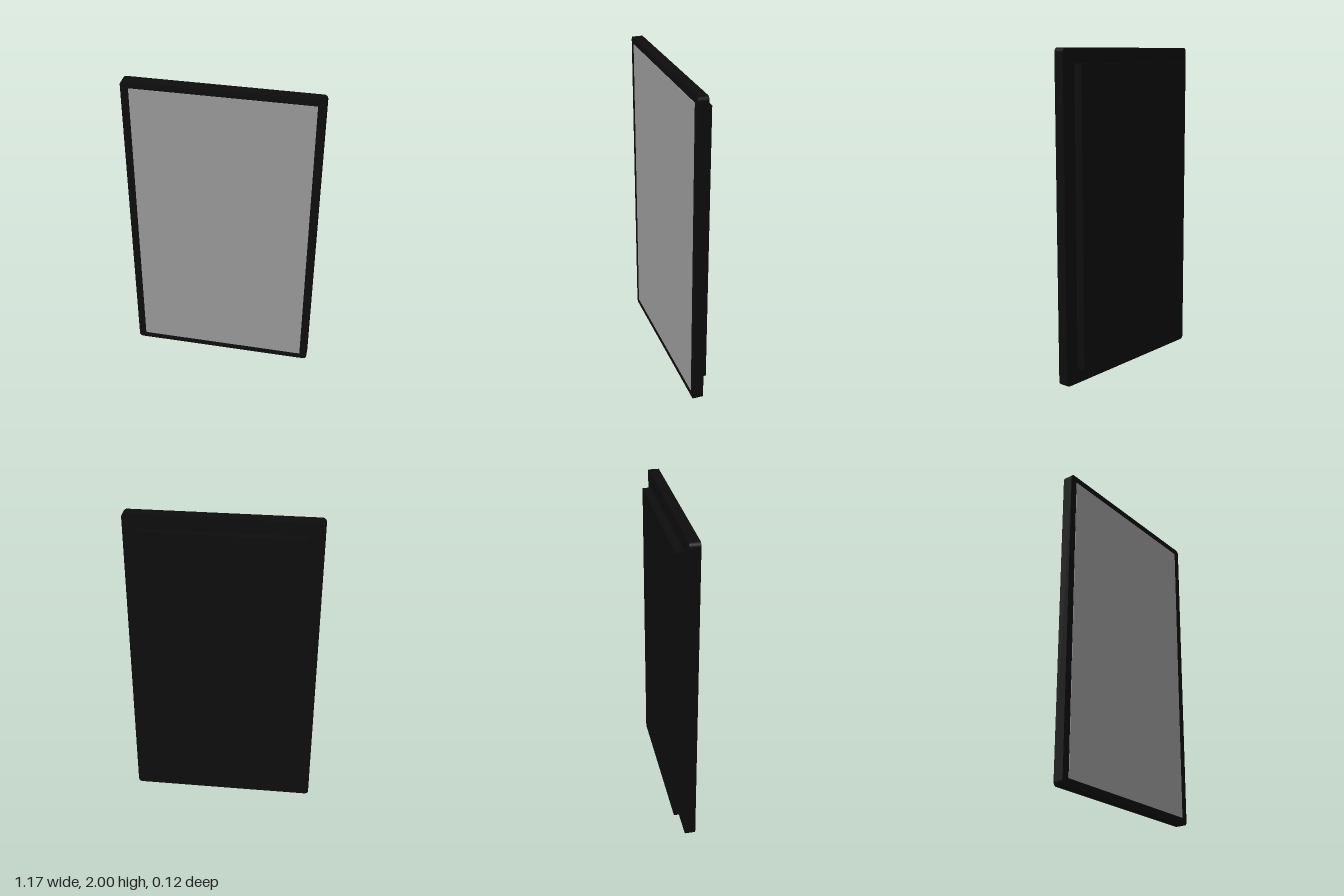
import * as THREE from 'three';

const WIDTH = 1.174, HEIGHT = 2;

// Rectangle outline with rounded corners, centred on the origin
function roundedRect(w, h, r) {
  const x = w / 2, y = h / 2;
  const s = new THREE.Shape();
  s.moveTo(-x + r, -y);
  s.lineTo(x - r, -y);
  s.absarc(x - r, -y + r, r, -Math.PI / 2, 0);
  s.lineTo(x, y - r);
  s.absarc(x - r, y - r, r, 0, Math.PI / 2);
  s.lineTo(-x + r, y);
  s.absarc(-x + r, y - r, r, Math.PI / 2, Math.PI);
  s.lineTo(-x, -y + r);
  s.absarc(-x + r, -y + r, r, Math.PI, Math.PI * 1.5);
  return s;
}

export function createModel() {
  const model = new THREE.Group();
  model.name = 'wallDisplay';

  const black = new THREE.MeshStandardMaterial({ color: 0x0d0d0d });
  black.name = 'black casing';
  const grey = new THREE.MeshStandardMaterial({ color: 0x999999 });
  grey.name = 'grey screen';

  // Adds a slab spanning zBack to zFront at mid height
  const addPart = (name, geometry, material, z) => {
    const mesh = new THREE.Mesh(geometry, material);
    mesh.name = name;
    mesh.position.set(0, HEIGHT / 2, z);
    model.add(mesh);
  };

  // Front casing with rounded corners
  const casing = new THREE.ExtrudeGeometry(roundedRect(WIDTH, HEIGHT, 0.025), {
    depth: 0.064, bevelEnabled: false, curveSegments: 5,
  });
  addPart('casing', casing, black, -0.007);

  // Thin screen panel standing just proud of the casing
  addPart('screen', new THREE.BoxGeometry(1.078, 1.914, 0.006), grey, 0.057);

  // Raised housing on the back
  addPart('rearHousing', new THREE.BoxGeometry(0.984, 1.818, 0.057), black, -0.0325);

  return model;
}
